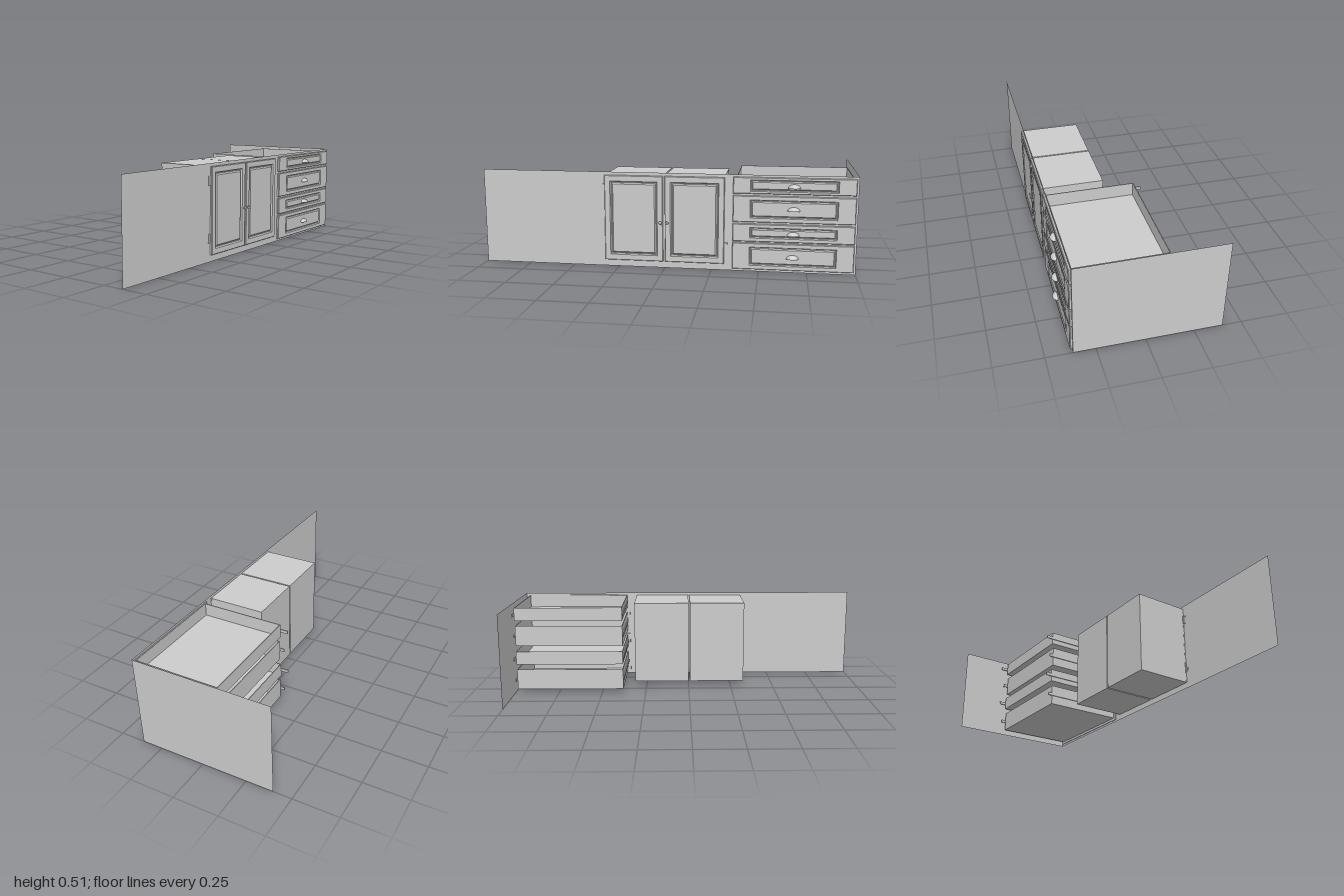
import * as THREE from 'three';

export function createModel() {
  const model = new THREE.Group();
  model.name = 'kitchenCabinet';
  const grey = new THREE.MeshStandardMaterial({ color: 0xcccccc, side: THREE.DoubleSide });
  grey.name = 'plain grey';

  const add = (parent, name, geometry, x = 0, y = 0, z = 0) => {
    const mesh = new THREE.Mesh(geometry, grey);
    mesh.name = name;
    mesh.position.set(x, y, z);
    parent.add(mesh);
    return mesh;
  };

  // Box given by its limits along each axis
  const block = (parent, name, [x0, x1], [y0, y1], [z0, z1]) =>
    add(parent, name, new THREE.BoxGeometry(x1 - x0, y1 - y0, z1 - z0),
      (x0 + x1) / 2, (y0 + y1) / 2, (z0 + z1) / 2);

  // Moulded slab facing +x from concentric rectangles [halfZ, halfY, x]
  const moulded = (rings) => {
    const corners = rings.map(([hz, hy, x]) =>
      [[x, -hy, hz], [x, -hy, -hz], [x, hy, -hz], [x, hy, hz]]);
    const points = [];
    const quad = (a, b, c, d) => points.push(...a, ...b, ...c, ...a, ...c, ...d);
    for (let r = 0; r < corners.length - 1; r++) {
      const a = corners[r], b = corners[r + 1];
      for (let i = 0; i < 4; i++) {
        const j = (i + 1) % 4;
        quad(a[i], a[j], b[j], b[i]);
      }
    }
    quad(...corners[corners.length - 1]);
    quad(...[...corners[0]].reverse());
    const geometry = new THREE.BufferGeometry();
    geometry.setAttribute('position', new THREE.Float32BufferAttribute(points, 3));
    geometry.computeVertexNormals();
    return geometry;
  };

  // Slab with bevelled rim, sunken groove and raised centre field
  const panelFront = (hz, hy, fieldZ, fieldY, groove) => moulded([
    [hz, hy, 0.358],
    [hz, hy, 0.371],
    [hz - 0.003, hy - 0.003, 0.375],
    [fieldZ, fieldY, 0.375],
    [fieldZ - groove * 0.3, fieldY - groove * 0.3, 0.366],
    [fieldZ - groove * 0.6, fieldY - groove * 0.6, 0.366],
    [fieldZ - groove, fieldY - groove, 0.373],
  ]);

  // Face panel and end panel
  const facePanel = add(model, 'facePanel', new THREE.PlaneGeometry(2, 0.515), 0.363, 0.2575, 0);
  facePanel.rotation.y = Math.PI / 2;
  add(model, 'endPanel', new THREE.PlaneGeometry(0.763, 0.515), -0.0185, 0.2575, -1);

  // Doors, each with its box, knob and two hinges
  const knobProfile = [[0, 0], [0.006, 0], [0.004, 0.003], [0.004, 0.007],
    [0.009, 0.010], [0.008, 0.014], [0, 0.016]].map(([r, h]) => new THREE.Vector2(r, h));
  const middle = 0.004;
  for (const side of [1, -1]) {
    const door = new THREE.Group();
    door.name = side > 0 ? 'leftDoor' : 'rightDoor';
    model.add(door);
    const span = (a, b) => [middle + side * a, middle + side * b].sort((p, q) => p - q);
    block(door, 'cupboardBox', [0.042, 0.362], [0.033, 0.5], span(0.004, 0.32));
    add(door, 'doorFront', panelFront(0.158, 0.231, 0.128, 0.2, 0.016), 0, 0.267, middle + side * 0.163);
    const knob = add(door, 'knob', new THREE.LatheGeometry(knobProfile, 20), 0.375, 0.249, middle + side * 0.018);
    knob.rotation.z = -Math.PI / 2;
    for (const y of [0.1, 0.4]) {
      block(door, 'hingePlate', [0.355, 0.367], [y, y + 0.05], span(0.322, 0.327));
      block(door, 'hingeLeaf', [0.362, 0.367], [y, y + 0.05], span(0.327, 0.338));
    }
  }

  // Drawers: front limits, field limits, tray limits, tray back, slide bottom, slide back, handle bottom
  const drawers = [
    { front: [0.417, 0.503], field: [0.43, 0.49], tray: [0.425, 0.5], back: -0.107, slide: 0.453, slideBack: -0.147, pull: 0.45 },
    { front: [0.267, 0.406], field: [0.289, 0.385], tray: [0.28, 0.395], back: -0.1, slide: 0.333, slideBack: -0.126, pull: 0.331 },
    { front: [0.163, 0.257], field: [0.181, 0.237], tray: [0.174, 0.249], back: -0.107, slide: 0.203, slideBack: -0.147, pull: 0.2 },
    { front: [0.013, 0.155], field: [0.035, 0.134], tray: [0.027, 0.143], back: -0.1, slide: 0.078, slideBack: -0.126, pull: 0.076 },
  ];
  const z0 = -0.98, z1 = -0.377, wall = 0.004;
  // Cup pull: a quarter ellipsoid open underneath
  const cup = new THREE.SphereGeometry(1, 20, 10, Math.PI / 2, Math.PI, 0, Math.PI / 2);
  cup.scale(0.024, 0.02, 0.032);
  for (const d of drawers) {
    const drawer = new THREE.Group();
    drawer.name = 'drawer';
    model.add(drawer);
    const [bottom, top] = d.tray;
    const centre = (d.field[0] + d.field[1]) / 2;
    const halfField = (d.field[1] - d.field[0]) / 2;
    const halfFront = (d.front[1] - d.front[0]) / 2;
    const front = add(drawer, 'drawerFront', panelFront(0.314, halfFront, 0.225, halfField, 0.013),
      0, (d.front[0] + d.front[1]) / 2, -0.675);
    front.userData.fieldCentre = centre;

    // Open tray
    block(drawer, 'trayFloor', [d.back, 0.36], [bottom, bottom + wall], [z0, z1]);
    block(drawer, 'trayBack', [d.back, d.back + wall], [bottom, top], [z0, z1]);
    block(drawer, 'trayFront', [0.356, 0.36], [bottom, top], [z0, z1]);
    block(drawer, 'traySide', [d.back, 0.36], [bottom, top], [z0, z0 + wall]);
    block(drawer, 'traySide', [d.back, 0.36], [bottom, top], [z1 - wall, z1]);

    // Slides
    for (const z of [z0 - 0.006, z1]) {
      block(drawer, 'slide', [d.slideBack, 0.34], [d.slide, d.slide + 0.017], [z, z + 0.006]);
    }
    add(drawer, 'cupPull', cup, 0.373, d.pull, -0.675);
  }
  return model;
}
